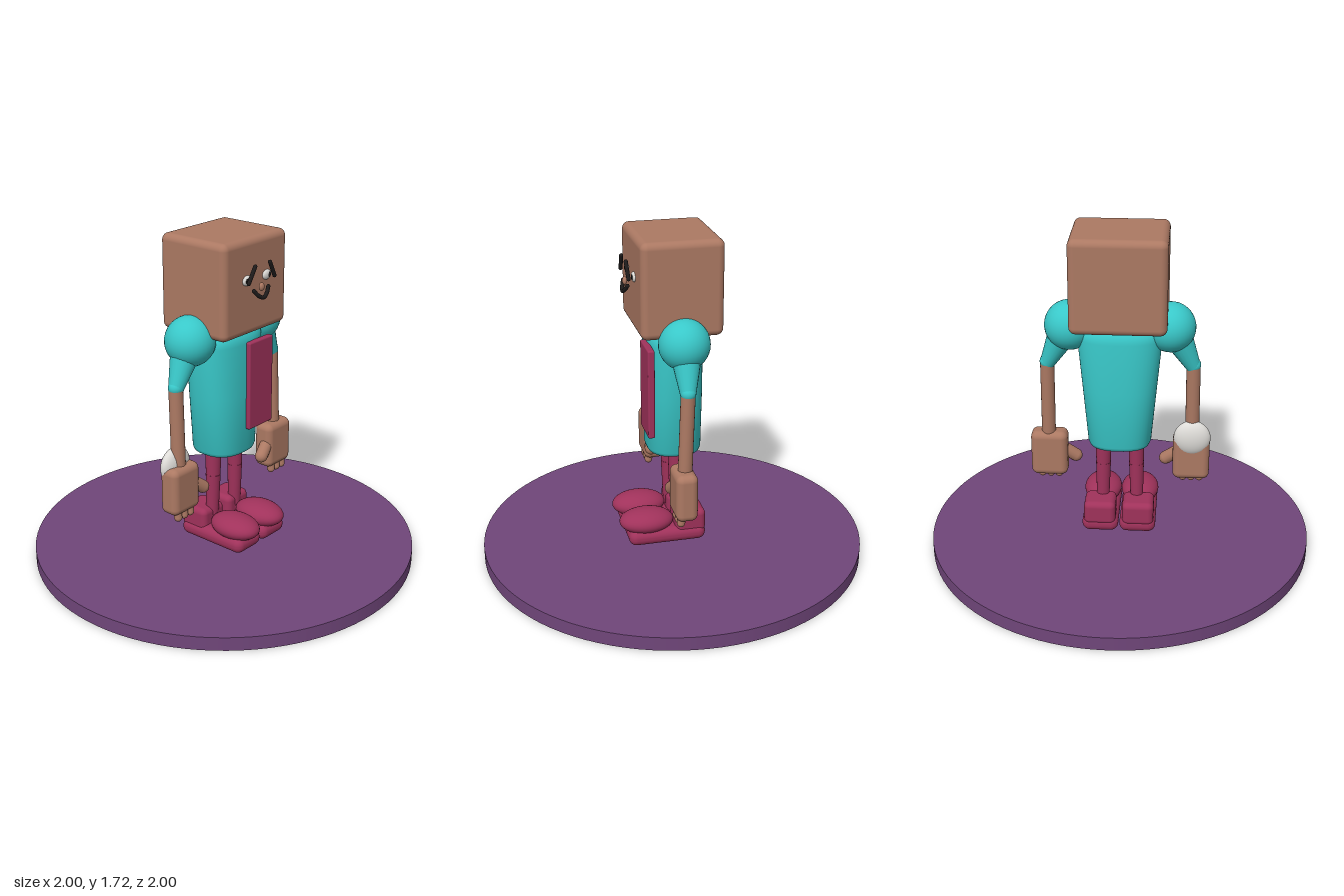
import * as THREE from 'three';
import { toCreasedNormals } from 'three/addons/utils/BufferGeometryUtils.js';
import { RoundedBoxGeometry } from 'three/addons/geometries/RoundedBoxGeometry.js';

const mat = (name, color) => {
  const m = new THREE.MeshStandardMaterial({ color });
  m.name = name;
  return m;
};
const V = (x, y, z) => new THREE.Vector3(x, y, z);

export function createModel() {
  const model = new THREE.Group();
  model.name = 'figure';
  const skin = mat('skin brown', 0xac7963);
  const teal = mat('teal', 0x39c8c9);
  const crimson = mat('crimson', 0xa0325b);
  const purple = mat('purple', 0x70467a);
  const white = mat('white', 0xdedcd8);
  const black = mat('black', 0x1e1b1b);

  const add = (name, geometry, material, x = 0, y = 0, z = 0) => {
    const mesh = new THREE.Mesh(geometry, material);
    mesh.name = name;
    mesh.position.set(x, y, z);
    model.add(mesh);
    return mesh;
  };
  const rounded = (name, m, w, h, d, r, x, y, z) =>
    add(name, new RoundedBoxGeometry(w, h, d, 5, r), m, x, y, z);
  const ellipsoid = (name, m, rx, ry, rz, x, y, z) => {
    const mesh = add(name, new THREE.SphereGeometry(1, 32, 20), m, x, y, z);
    mesh.scale.set(rx, ry, rz);
    return mesh;
  };
  // Tapered limb between two points
  const limb = (name, m, a, b, ra, rb) => {
    const dir = b.clone().sub(a);
    const mesh = add(name, new THREE.CylinderGeometry(rb, ra, dir.length(), 20), m);
    mesh.position.copy(a).lerp(b, 0.5);
    mesh.quaternion.setFromUnitVectors(V(0, 1, 0), dir.normalize());
    return mesh;
  };
  // Round-ended stick between two points
  const stick = (name, m, a, b, r) => {
    const dir = b.clone().sub(a);
    const mesh = add(name, new THREE.CapsuleGeometry(r, dir.length(), 6, 14), m);
    mesh.position.copy(a).lerp(b, 0.5);
    mesh.quaternion.setFromUnitVectors(V(0, 1, 0), dir.normalize());
    return mesh;
  };

  // Round stand
  add('stand', new THREE.CylinderGeometry(1, 1, 0.07, 96), purple, 0, 0.035, 0);

  // Torso: tapered lathe squashed into a soft oval section
  const profile = [[0, 0.575], [0.14, 0.575], [0.155, 0.582], [0.163, 0.6],
    [0.19, 0.9], [0.215, 1.17], [0.212, 1.205], [0.195, 1.222], [0, 1.222]]
    .map(([r, y]) => new THREE.Vector2(r, y));
  const torso = new THREE.LatheGeometry(profile, 64);
  const p = torso.attributes.position;
  for (let i = 0; i < p.count; i++) {
    const x = p.getX(i), y = p.getY(i), z = p.getZ(i);
    const r = Math.hypot(x, z);
    if (r < 1e-6) continue;
    const c = x / r, s = z / r;
    const k = Math.pow(Math.abs(c) ** 2.5 + Math.abs(s) ** 2.5, -1 / 2.5);
    const depth = THREE.MathUtils.lerp(0.87, 0.64, (y - 0.575) / 0.647);
    p.setX(i, c * k * r);
    p.setZ(i, s * k * r * depth);
  }
  add('torso', toCreasedNormals(torso, 0.8), teal);
  rounded('chestPanel', crimson, 0.185, 0.465, 0.035, 0.008, 0.097, 0.943, 0.148);

  // Collar, neck and head
  const collar = add('collar', new THREE.TorusGeometry(0.14, 0.025, 12, 48), white, 0, 1.215, 0);
  collar.rotation.x = Math.PI / 2;
  collar.scale.y = 0.75;
  limb('neck', skin, V(0, 1.15, 0), V(0, 1.28, 0), 0.045, 0.045);
  rounded('head', skin, 0.48, 0.48, 0.41, 0.035, 0, 1.482, 0);

  // Face
  for (const s of [-1, 1]) {
    ellipsoid('eye', white, 0.031, 0.025, 0.014, s * 0.075, 1.522, 0.206);
    ellipsoid('pupil', black, 0.011, 0.013, 0.005, s * 0.083, 1.522, 0.217);
    stick('eyebrow', black, V(s * 0.056, 1.594, 0.241), V(s * 0.098, 1.518, 0.237), 0.01);
  }
  ellipsoid('nose', skin, 0.016, 0.021, 0.012, 0, 1.483, 0.237);
  const smile = new THREE.CatmullRomCurve3([
    V(-0.055, 1.472, 0.234), V(-0.032, 1.446, 0.243), V(0, 1.431, 0.249),
    V(0.032, 1.446, 0.243), V(0.055, 1.472, 0.234)]);
  add('mouth', new THREE.TubeGeometry(smile, 32, 0.01, 10), black);
  for (const s of [-1, 1]) ellipsoid('mouthCorner', black, 0.01, 0.01, 0.01, s * 0.055, 1.472, 0.234);

  for (const s of [-1, 1]) {
    // Arm
    ellipsoid('shoulder', teal, 0.127, 0.127, 0.127, s * 0.253, 1.222, 0);
    limb('upperArm', teal, V(s * 0.29, 1.17, 0), V(s * 0.372, 1.005, 0.01), 0.075, 0.038);
    ellipsoid('elbow', teal, 0.038, 0.038, 0.038, s * 0.372, 1.015, 0.01);
    limb('forearm', skin, V(s * 0.372, 1.015, 0.01), V(s * 0.375, 0.58, 0.025), 0.036, 0.036);

    // Hand
    rounded('hand', skin, 0.192, 0.25, 0.11, 0.035, s * 0.372, 0.49, 0.03);
    for (const x of [0.33, 0.374, 0.418]) {
      stick('finger', skin, V(s * x, 0.39, 0.05), V(s * x, 0.345, 0.055), 0.021);
    }
    stick('thumb', skin, V(s * 0.3, 0.5, 0.045), V(s * 0.238, 0.452, 0.06), 0.034);

    // Leg
    limb('thigh', crimson, V(s * 0.087, 0.45, 0), V(s * 0.085, 0.62, 0), 0.038, 0.044);
    limb('shin', crimson, V(s * 0.09, 0.2, -0.005), V(s * 0.087, 0.45, 0), 0.032, 0.039);

    // Shoe
    rounded('shoeSole', crimson, 0.19, 0.085, 0.405, 0.04, s * 0.098, 0.14, 0.063);
    ellipsoid('shoeToe', crimson, 0.1, 0.063, 0.142, s * 0.1, 0.208, 0.162);
    rounded('shoeHeel', crimson, 0.165, 0.13, 0.16, 0.03, s * 0.1, 0.205, -0.06);
  }

  // Pale disc at the right wrist
  ellipsoid('wristDisc', white, 0.096, 0.096, 0.045, -0.375, 0.605, 0);

  return model;
}
